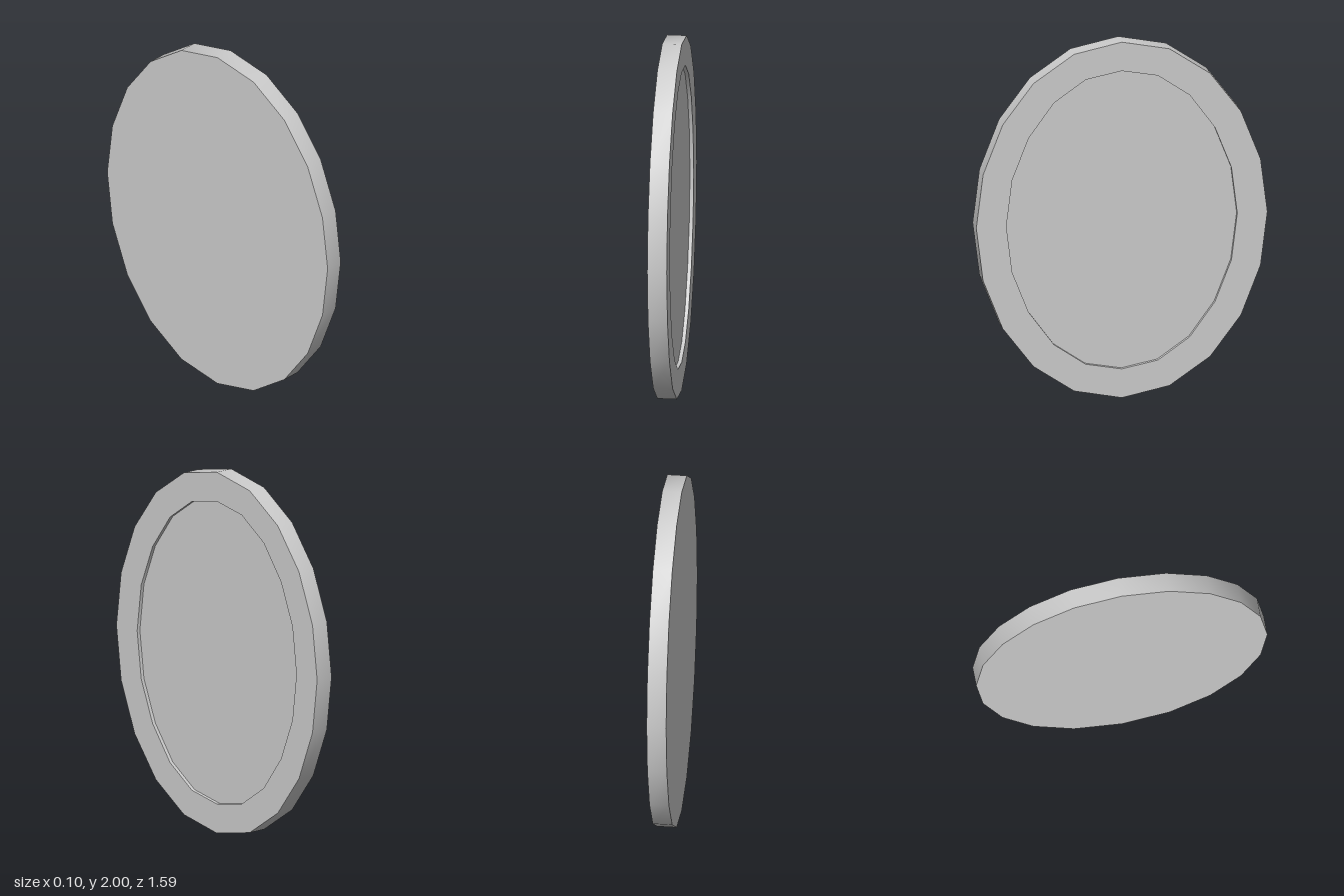
import * as THREE from 'three';
import { toCreasedNormals } from 'three/addons/utils/BufferGeometryUtils.js';

const SIDES = 20;
// Quarter outlines as [z, y] offsets from the centre, from the side to the top
const RIM = [[0.794, 0], [0.757, 0.298], [0.65, 0.573], [0.482, 0.796], [0.26, 0.947], [0, 1]];
const RECESS = [[0.63, 0], [0.598, 0.26], [0.508, 0.49], [0.37, 0.68], [0.197, 0.8], [0, 0.838]];
const CENTRE = RIM.map(() => [0, 0]);

// Mirrors a quarter outline to all four quarters
function ovalPoint(quarter, i) {
  const k = i % SIDES;
  const a = k <= 10 ? k : SIDES - k;
  const [z, y] = quarter[a <= 5 ? a : 10 - a];
  return [a <= 5 ? z : -z, k <= 10 ? -y : y];
}

export function createModel() {
  const half = 0.0525, depth = 0.02;
  // Profile from the back centre, round the rim, into the shallow front recess
  const profile = [
    [CENTRE, -half], [RIM, -half], [RIM, half],
    [RECESS, half], [RECESS, half - depth], [CENTRE, half - depth],
  ];
  const points = profile.map(([q, h]) => new THREE.Vector2(q[0][0], h));
  const geometry = new THREE.LatheGeometry(points, SIDES);

  // Lay the axis along x and reshape each ring to its oval outline
  const pos = geometry.attributes.position;
  for (let v = 0; v < pos.count; v++) {
    const [quarter, x] = profile[v % profile.length];
    const [z, y] = ovalPoint(quarter, Math.floor(v / profile.length));
    pos.setXYZ(v, x, y + 1, z);
  }

  const disc = new THREE.Mesh(
    toCreasedNormals(geometry, 0.7),
    new THREE.MeshStandardMaterial({ color: 0xcccccc })
  );
  disc.name = 'recessedOvalDisc';

  const group = new THREE.Group();
  group.name = 'ovalPlate';
  group.add(disc);
  return group;
}
